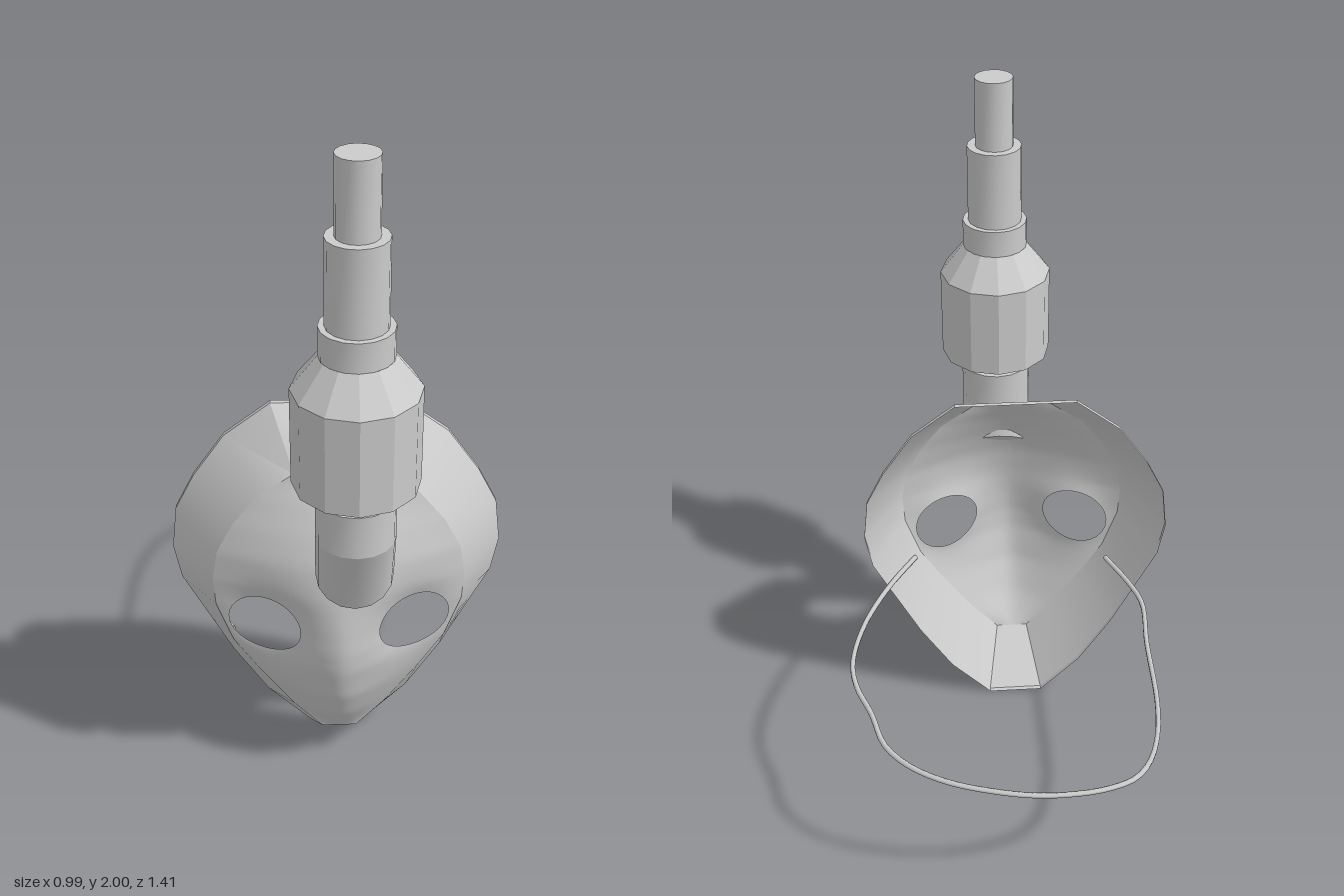
import * as THREE from 'three';
import { mergeVertices, toCreasedNormals } from 'three/addons/utils/BufferGeometryUtils.js';

const grey = new THREE.MeshStandardMaterial({ color: 0xcccccc });
const greyThin = new THREE.MeshStandardMaterial({ color: 0xcccccc, side: THREE.DoubleSide });

// Half outlines (x, y) from top middle to bottom middle
const OUTER = [[0, 1.15], [0.18, 1.15], [0.31, 1.05], [0.4, 0.92], [0.455, 0.81], [0.47, 0.68],
  [0.45, 0.57], [0.37, 0.41], [0.31, 0.29], [0.21, 0.13], [0.085, 0], [0, 0]];
const INNER = [[0, 1.03], [0.12, 1.03], [0.22, 0.96], [0.29, 0.87], [0.335, 0.78], [0.35, 0.69],
  [0.345, 0.6], [0.3, 0.47], [0.23, 0.36], [0.13, 0.22], [0.05, 0.13], [0, 0.13]];
// Middle line of the face (z, y)
const RIDGE = [[0.36, 1.03], [0.4, 0.96], [0.44, 0.875], [0.472, 0.79], [0.492, 0.69], [0.503, 0.6],
  [0.508, 0.52], [0.502, 0.45], [0.475, 0.34], [0.425, 0.23], [0.36, 0.13]];
const EYE = { x: 0.21, y: 0.56, rx: 0.1, ry: 0.094 };
const FACE_Z = 0.36, RIM_Z = 0.19, BACK_Z = 0.175;

// First value of a [value, y] table, interpolated at height y
function valueAt(table, y) {
  for (let i = 0; i < table.length - 1; i++) {
    const [a, ya] = table[i], [b, yb] = table[i + 1];
    if (ya > yb && y <= ya + 1e-6 && y >= yb - 1e-6) return a + (b - a) * (ya - y) / (ya - yb);
  }
  return 0;
}

// Face relief: nose ridge, rounder forehead, sunken eye sockets
function faceZ(x, y) {
  const u = Math.min(1, x / valueAt(INNER, y));
  const e = 0.15 + 0.45 * THREE.MathUtils.smoothstep(y, 0.6, 0.85)
    + 0.2 * (1 - THREE.MathUtils.smoothstep(y, 0.2, 0.42));
  const fall = 1 - (Math.hypot(u, e) - e) / (Math.hypot(1, e) - e);
  const socket = Math.exp(-(((x - EYE.x) / 0.1) ** 2) - ((y - EYE.y) / 0.1) ** 2);
  return FACE_Z + (valueAt(RIDGE, y) - FACE_Z) * fall - 0.05 * socket * (1 - u ** 4);
}

// Joins rings of points, then mirrors the result in x
function mirroredLoft(rings) {
  const pos = [], idx = [], n = rings[0].length;
  for (const side of [1, -1]) {
    const base = pos.length / 3;
    rings.flat().forEach(([x, y, z]) => pos.push(x * side, y, z));
    for (let r = 0; r < rings.length - 1; r++) {
      for (let j = 0; j < n - 1; j++) {
        const a = base + r * n + j, b = a + n, c = a + 1, d = b + 1;
        if (side > 0) idx.push(a, c, d, a, d, b);
        else idx.push(a, d, c, a, b, d);
      }
    }
  }
  const g = new THREE.BufferGeometry();
  g.setAttribute('position', new THREE.Float32BufferAttribute(pos, 3));
  g.setIndex(idx);
  const merged = mergeVertices(g, 1e-4);
  merged.computeVertexNormals();
  return merged;
}

// Face plate: rings growing from the eye hole to the edge of the half face
function faceGeometry() {
  const edge = [];
  const addLine = ([x0, y0], [x1, y1], n) => {
    for (let k = 0; k < n; k++) edge.push([x0 + (x1 - x0) * k / n, y0 + (y1 - y0) * k / n]);
  };
  for (let i = 0; i < INNER.length - 1; i++) addLine(INNER[i], INNER[i + 1], 4);
  addLine(INNER[INNER.length - 1], INNER[0], 36);
  edge.push(INNER[0]);
  const rings = [], steps = 16;
  for (let r = 0; r <= steps; r++) {
    rings.push(edge.map(([bx, by]) => {
      const a = Math.atan2(by - EYE.y, bx - EYE.x), t = r / steps;
      const ex = EYE.x + EYE.rx * Math.cos(a), ey = EYE.y + EYE.ry * Math.sin(a);
      const x = ex + (bx - ex) * t, y = ey + (by - ey) * t;
      return [x, y, faceZ(x, y)];
    }));
  }
  return mirroredLoft(rings);
}

function add(parent, name, geometry, material = grey) {
  const mesh = new THREE.Mesh(geometry, material);
  mesh.name = name;
  parent.add(mesh);
  return mesh;
}

function buildMask() {
  const mask = new THREE.Group();
  mask.name = 'mask';
  const at = (pts, z) => pts.map(([x, y]) => [x, y, z]);
  add(mask, 'face', faceGeometry(), greyThin);
  add(mask, 'flaredSide', toCreasedNormals(mirroredLoft([at(INNER, FACE_Z), at(OUTER, RIM_Z)]), 0.5), greyThin);
  add(mask, 'rimBand', toCreasedNormals(mirroredLoft([at(OUTER, RIM_Z), at(OUTER, BACK_Z)]), 0.5), greyThin);
  mask.position.x = -0.027;
  return mask;
}

function buildPipe() {
  const pipe = new THREE.Group();
  pipe.name = 'pipe';
  // name, top radius, bottom radius, bottom y, top y, sides
  const sections = [
    ['tip', 0.055, 0.055, 1.8, 2, 16],
    ['upperTube', 0.079, 0.079, 1.57, 1.8, 16],
    ['collar', 0.095, 0.095, 1.49, 1.57, 16],
    ['shoulder', 0.095, 0.165, 1.4, 1.49, 12],
    ['canister', 0.165, 0.165, 1.13, 1.4, 12],
    ['neck', 0.083, 0.083, 1.08, 1.13, 16],
    ['elbowTop', 0.105, 0.105, 0.96, 1.085, 16],
  ];
  for (const [name, rt, rb, y0, y1, sides] of sections) {
    const g = new THREE.CylinderGeometry(rt, rb, y1 - y0, sides);
    add(pipe, name, toCreasedNormals(g, sides === 12 ? 0.3 : 0.6)).position.y = (y0 + y1) / 2;
  }
  // Lower elbow: leans back to a slanted end
  const elbow = new THREE.CylinderGeometry(0.105, 0.105, 1, 16);
  const p = elbow.attributes.position;
  for (let i = 0; i < p.count; i++) {
    const z = p.getZ(i);
    if (p.getY(i) > 0) p.setY(i, 0.96);
    else p.setXYZ(i, p.getX(i), 0.795 - 0.714 * z, -0.055 + 0.57 * z);
  }
  add(pipe, 'elbowBottom', toCreasedNormals(elbow, 0.6));
  pipe.position.set(0.01, 0, 0.542);
  return pipe;
}

// Head strap looping behind from one side of the mask to the other
function buildStrap(parent) {
  const path = [[-0.33, 0.46, 0.3], [-0.39, 0.45, 0.18], [-0.42, 0.447, 0.08], [-0.41, 0.44, -0.1],
    [-0.405, 0.43, -0.35], [-0.385, 0.424, -0.48], [-0.35, 0.42, -0.57], [-0.3, 0.423, -0.63],
    [-0.22, 0.433, -0.67], [-0.13, 0.445, -0.693], [-0.02, 0.455, -0.7], [0.1, 0.463, -0.683],
    [0.22, 0.47, -0.648], [0.32, 0.475, -0.59], [0.39, 0.479, -0.51], [0.43, 0.48, -0.38],
    [0.47, 0.481, -0.28], [0.485, 0.482, -0.2], [0.48, 0.483, -0.12], [0.45, 0.485, 0],
    [0.41, 0.486, 0.1], [0.36, 0.485, 0.2], [0.29, 0.48, 0.32]].map(c => new THREE.Vector3(...c));
  add(parent, 'headStrap', new THREE.TubeGeometry(new THREE.CatmullRomCurve3(path), 80, 0.008, 6), greyThin);
}

export function createModel() {
  const model = new THREE.Group();
  model.name = 'maskWithPipe';
  model.add(buildMask(), buildPipe());
  buildStrap(model);
  return model;
}
